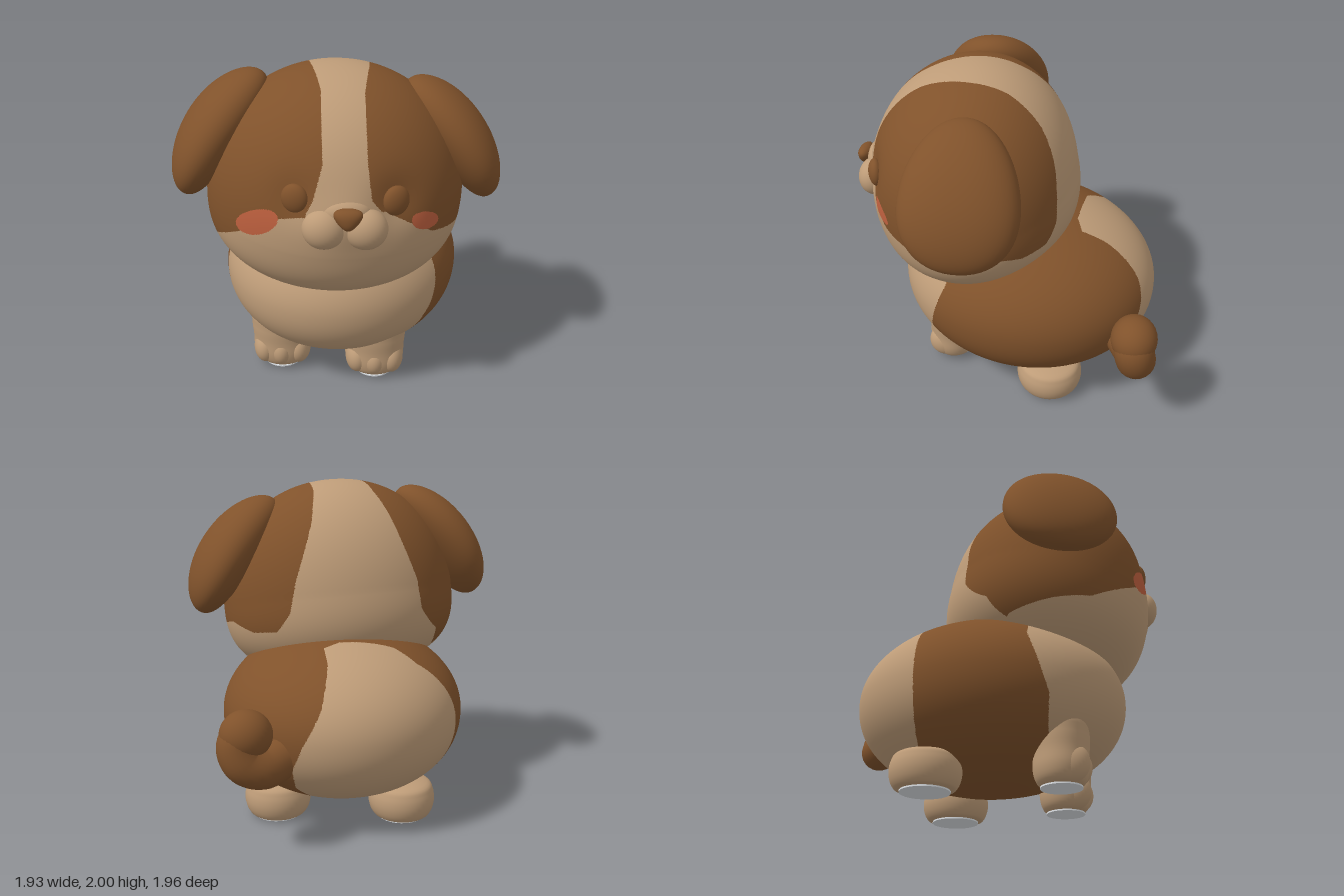
import * as THREE from 'three';
import { mergeVertices } from 'three/addons/utils/BufferGeometryUtils.js';

const flat = (name, color) => {
  const m = new THREE.MeshStandardMaterial({ color });
  m.name = name;
  return m;
};

// Piecewise linear lookup in a list of [key, value] pairs
function lerpTable(table, t) {
  if (t <= table[0][0]) return table[0][1];
  for (let i = 1; i < table.length; i++) {
    const [a, va] = table[i - 1], [b, vb] = table[i];
    if (t <= b) return va + (vb - va) * (t - a) / (b - a);
  }
  return table[table.length - 1][1];
}

// Sphere whose unit vertices are moved by a rule, with seamless smooth normals
function blob(rule, w = 40, h = 28) {
  let g = new THREE.SphereGeometry(1, w, h);
  g.deleteAttribute('uv');
  g.deleteAttribute('normal');
  g = mergeVertices(g, 1e-5);
  const p = g.attributes.position, v = new THREE.Vector3();
  for (let i = 0; i < p.count; i++) {
    v.fromBufferAttribute(p, i);
    rule(v);
    p.setXYZ(i, v.x, v.y, v.z);
  }
  g.computeVertexNormals();
  return g;
}

// Makes the vertical profile of a unit sphere squarer as n grows
function swell(v, n) {
  const r = Math.hypot(v.x, v.z);
  return v.multiplyScalar(1 / Math.pow(Math.pow(r, n) + Math.pow(Math.abs(v.y), n), 1 / n));
}

// Sorts the faces into one group per colour, splitting those on a colour border
function paint(g, pick) {
  const pos = [], nor = [], tone = [], lists = [[], [], []];
  const put = (p, n) => {
    tone.push(pick(p.x, p.y, p.z));
    nor.push(n);
    return pos.push(p) - 1;
  };
  for (let i = 0; i < g.attributes.position.count; i++) {
    put(new THREE.Vector3().fromBufferAttribute(g.attributes.position, i), new THREE.Vector3().fromBufferAttribute(g.attributes.normal, i));
  }
  const mid = (i, j) => put(pos[i].clone().lerp(pos[j], 0.5), nor[i].clone().lerp(nor[j], 0.5).normalize());
  const split = (i, j, k, depth) => {
    if (depth === 0 || (tone[i] === tone[j] && tone[j] === tone[k])) {
      lists[tone[j] === tone[k] ? tone[j] : tone[i]].push(i, j, k);
      return;
    }
    const a = mid(i, j), b = mid(j, k), c = mid(k, i);
    for (const t of [[i, a, c], [a, j, b], [c, b, k], [a, b, c]]) split(...t, depth - 1);
  };
  const src = g.index.array;
  for (let i = 0; i < src.length; i += 3) split(src[i], src[i + 1], src[i + 2], 3);
  const out = new THREE.BufferGeometry().setFromPoints(pos);
  out.setAttribute('normal', new THREE.Float32BufferAttribute(nor.flatMap(n => [n.x, n.y, n.z]), 3));
  out.setIndex(lists.flat());
  let start = 0;
  lists.forEach((l, k) => { out.addGroup(start, l.length, k); start += l.length; });
  return out;
}

const TAN = 0, BROWN = 1, BLUSH = 2;

// Head markings: blaze over the crown (by angle t), pale jaw (by azimuth a), cheeks
const blazeRight = [[0.2, 0.27], [0.32, 0.21], [0.6, 0.185], [1.2, 0.165], [1.6, 0.19], [1.91, 0.19], [2.27, 0.23], [2.8, 0.34], [3.14, 0.38], [3.5, 0.5]];
const blazeLeft = [[0.2, -0.14], [0.32, -0.1], [0.6, -0.05], [1.2, -0.07], [1.6, -0.14], [1.91, -0.18], [2.27, -0.27], [2.8, -0.4], [3.14, -0.43], [3.5, -0.56]];
const jaw = [[-2.4, 0.85], [-2, 0.97], [-1.6, 1.01], [-1.3, 1.03], [-0.82, 1.19], [-0.5, 1.32], [-0.23, 1.35], [0.47, 1.36],
  [0.66, 1.28], [0.93, 1.17], [1.37, 1.11], [1.64, 1.1], [1.91, 1.14], [2.18, 1.1], [2.4, 1.12], [3.14, 1.1]];
const inOval = (x, y, cx, cy, rx, ry, tilt) => {
  const c = Math.cos(tilt), s = Math.sin(tilt), dx = x - cx, dy = y - cy;
  return ((dx * c + dy * s) / rx) ** 2 + ((dy * c - dx * s) / ry) ** 2 < 1;
};
function headColour(x, y, z) {
  if (z > 0.4 && (inOval(x, y, -0.41, 1.28, 0.135, 0.068, 0.5) || inOval(x, y, 0.503, 1.257, 0.084, 0.05, -0.5))) return BLUSH;
  if (y < lerpTable(jaw, Math.atan2(x, z - 0.25))) return TAN;
  let t = Math.atan2(y - 1.24, z - 0.25);
  if (t < -Math.PI / 2) t += 2 * Math.PI;
  return x > lerpTable(blazeLeft, t) && x < lerpTable(blazeRight, t) ? TAN : BROWN;
}

// Body markings: pale chest and pale rump patch
const chestEdge = [[0.1, 0.28], [0.3, 0.3], [0.45, 0.32], [0.65, 0.26], [0.82, 0.2]];
const rumpEdge = [[0.15, 0.25], [0.3, 0.4], [0.45, 0.43], [0.6, 0.38], [0.8, 0.27], [1, 0.2]];
const rumpFront = [[-0.6, -0.55], [-0.34, -0.515], [-0.22, -0.43], [0.1, -0.41], [0.22, -0.46]];
function bodyColour(x, y, z) {
  if (y > 0.16 && z > lerpTable(chestEdge, y) + 0.19 * x) return TAN;
  if (y > 0.16 + 0.15 * Math.min(0, x) && x < lerpTable(rumpEdge, y) && z < lerpTable(rumpFront, x)) return TAN;
  return BROWN;
}

export function createModel() {
  const model = new THREE.Group();
  model.name = 'puppy';
  const tan = flat('tanFur', 0xbe9c78), brown = flat('brownFur', 0x80522b);
  const blush = flat('cheekBlush', 0xc0613f), grey = flat('padGrey', 0xe8ecf0);
  const fur = [tan, brown, blush];
  const add = (name, geo, mat, parent = model) => {
    const m = new THREE.Mesh(geo, mat);
    m.name = name;
    parent.add(m);
    return m;
  };
  const ball = (name, mat, pos, size, yaw = 0, parent = model) => {
    const m = add(name, new THREE.SphereGeometry(1, 32, 24), mat, parent);
    m.position.set(...pos);
    m.scale.set(...size);
    m.rotation.y = yaw;
    return m;
  };

  // Body
  const body = blob(v => {
    swell(v, v.y < 0 ? 2.15 : 2);
    v.set(v.x * 0.75 + 0.03 - v.z * 0.035, v.y * 0.517 + 0.602, v.z * 0.818 - 0.1);
  }, 120, 80);
  add('body', paint(body, bodyColour), fur);

  // Head: tall dome over a squashed jaw, tipped a little, with eye sockets and a muzzle swelling
  const pose = new THREE.Matrix4().makeRotationFromEuler(new THREE.Euler(0.2, 0.1, -0.045, 'YXZ')).setPosition(-0.005, 1.24, 0.25);
  const bump = (v, x, y, rx, ry) => Math.exp(-(((v.x - x) / rx) ** 2) - ((v.y - y) / ry) ** 2);
  const head = blob(v => {
    swell(v, v.y < 0 ? 2.6 : 2.12);
    v.set(v.x * 0.755, v.y * (v.y < 0 ? 0.5 : 0.752), v.z * 0.643);
    v.z -= 0.06 * Math.max(0, v.y);
    v.applyMatrix4(pose);
    if (v.z > 0.5) {
      v.z += 0.028 * bump(v, 0.07, 1.32, 0.17, 0.14) - 0.022 * bump(v, -0.2, 1.44, 0.12, 0.13) - 0.035 * bump(v, 0.34, 1.41, 0.12, 0.13);
    }
  }, 132, 90);
  add('head', paint(head, headColour), fur);

  // Ears: thick drooping flaps, narrower at the root and slightly bent
  for (const [side, x, y, z] of [[1, 0.693, 1.557, 0.163], [-1, -0.685, 1.612, 0.265]]) {
    const geo = blob(v => {
      v.multiplyScalar(1 / Math.pow(Math.abs(v.x) ** 2.1 + Math.abs(v.y) ** 2.1 + Math.abs(v.z) ** 2.1, 1 / 2.1));
      const bend = 0.05 * (0.4 - v.y * v.y);
      v.set(v.x * 0.17 + side * bend, v.y * 0.425, v.z * 0.33 * (1 - 0.17 * v.y));
    }, 48, 36);
    const ear = add(side > 0 ? 'leftEar' : 'rightEar', geo, brown);
    ear.position.set(x, y, z);
    ear.rotation.set(0, 0.1, side * 0.62, 'YXZ');
  }

  // Face
  const face = new THREE.Group();
  face.name = 'face';
  model.add(face);
  ball('rightEye', brown, [-0.197, 1.44, 0.83], [0.076, 0.084, 0.045], -0.25, face);
  ball('leftEye', brown, [0.338, 1.41, 0.777], [0.076, 0.086, 0.045], 0.42, face);
  ball('rightMuzzleLobe', tan, [-0.043, 1.285, 0.865], [0.12, 0.118, 0.1], 0, face);
  ball('leftMuzzleLobe', tan, [0.178, 1.278, 0.85], [0.12, 0.118, 0.1], 0, face);
  ball('muzzleBridge', tan, [0.07, 1.37, 0.845], [0.14, 0.085, 0.075], 0.1, face);
  const nose = blob(v => {
    swell(v, 2.3);
    v.set(v.x * 0.092 * (0.74 + 0.36 * v.y), v.y * 0.061, v.z * 0.048);
  });
  add('nose', nose, brown, face).position.set(0.086, 1.371, 0.932);

  // Legs: lathed stumps with a flat sole, soft toes and a grey pad
  const curve = pts => new THREE.SplineCurve(pts.map(([r, y]) => new THREE.Vector2(r, y))).getPoints(30);
  const frontProfile = curve([[0, 0.018], [0.105, 0.018], [0.15, 0.045], [0.172, 0.11], [0.174, 0.2], [0.18, 0.3], [0.165, 0.4], [0, 0.5]]);
  const rearProfile = curve([[0, 0.008], [0.14, 0.01], [0.18, 0.035], [0.2, 0.1], [0.192, 0.17], [0.155, 0.218], [0, 0.25]]);
  for (const [name, x, z, front] of [['leftFrontLeg', 0.25, 0.365, true], ['rightFrontLeg', -0.345, 0.28, true],
    ['leftRearLeg', 0.47, -0.32, false], ['rightRearLeg', -0.27, -0.475, false]]) {
    const leg = new THREE.Group();
    leg.name = name;
    leg.position.set(x, 0, z);
    model.add(leg);
    const stump = add(name + 'Stump', new THREE.LatheGeometry(front ? frontProfile : rearProfile, 40), tan, leg);
    stump.scale.set(front ? 1.08 : 1, 1, front ? 0.92 : 1.03);
    for (const i of front ? [-1, 0, 1] : []) {
      ball('toe', tan, [i * 0.105, 0.13, 0.07 - 0.025 * Math.abs(i)], [0.078, 0.112, 0.105], 0, leg);
    }
    const padRadius = front ? 0.12 : 0.145;
    const pad = add('pawPad', new THREE.CylinderGeometry(padRadius, padRadius, 0.009, 28), grey, leg);
    pad.position.y = front ? 0.0145 : 0.0045;
  }

  // Tail: a short fat hook curling up and inward at the left hip
  const path = new THREE.CatmullRomCurve3([[0.5, 0.52, -0.78], [0.6, 0.505, -0.845], [0.695, 0.55, -0.86], [0.722, 0.645, -0.845], [0.66, 0.705, -0.835]]
    .map(p => new THREE.Vector3(...p)));
  const tail = new THREE.Group();
  tail.name = 'tail';
  model.add(tail);
  add('tailStem', new THREE.TubeGeometry(path, 40, 0.118, 24), brown, tail);
  ball('tailTip', brown, [0.68, 0.695, -0.838], [0.145, 0.138, 0.135], 0, tail);
  return model;
}
